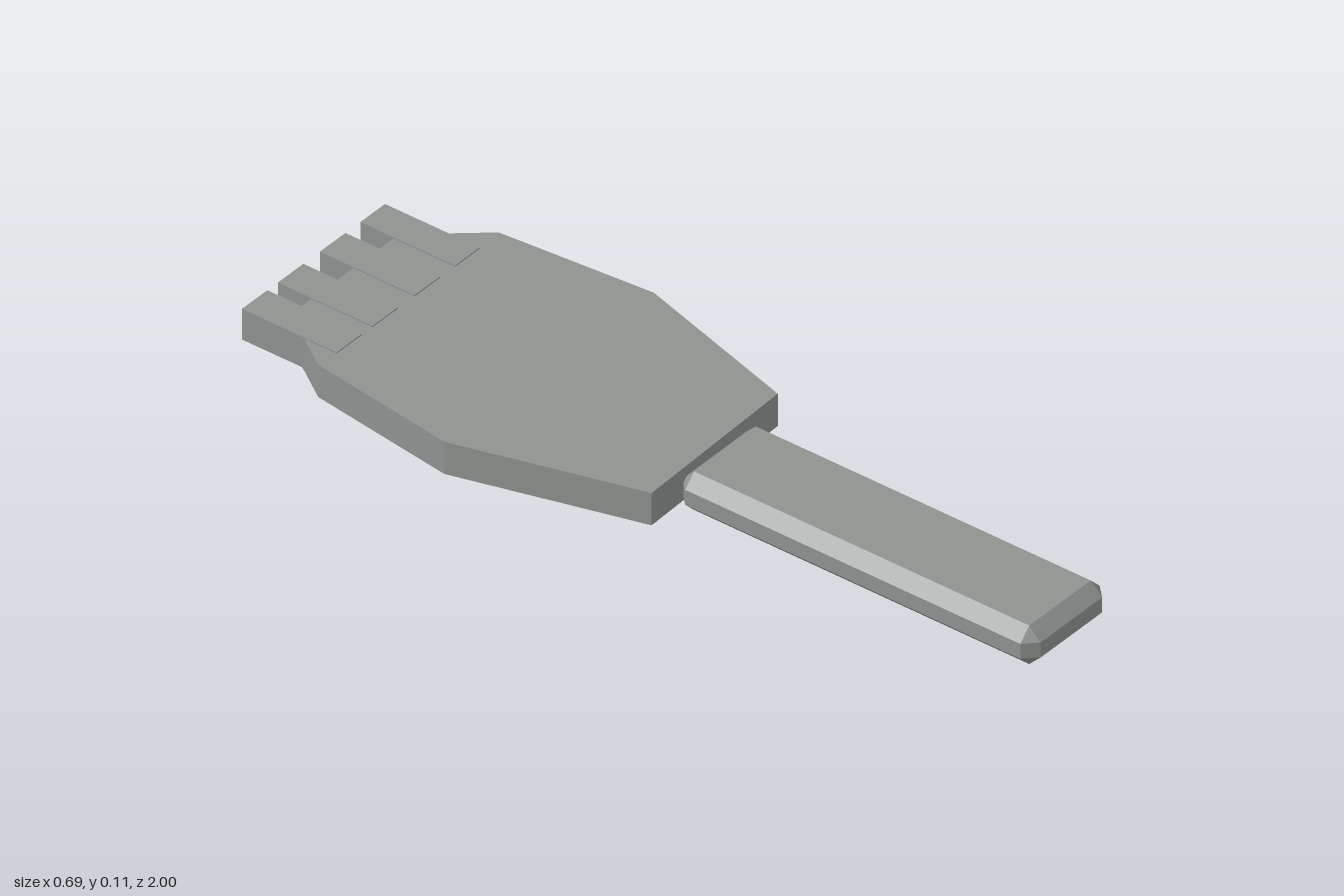
import * as THREE from 'three';
import { ConvexGeometry } from 'three/addons/geometries/ConvexGeometry.js';

// Box between two corners with every edge chamfered by c
function chamferedBox(min, max, c) {
  const points = [];
  for (const sx of [0, 1]) for (const sy of [0, 1]) for (const sz of [0, 1]) {
    const side = [sx, sy, sz];
    for (let face = 0; face < 3; face++) {
      const p = side.map((s, i) => {
        const inset = i === face ? 0 : c;
        return s ? max[i] - inset : min[i] + inset;
      });
      points.push(new THREE.Vector3(...p));
    }
  }
  return new ConvexGeometry(points);
}

export function createModel() {
  const model = new THREE.Group();
  model.name = 'paddle';
  const grey = new THREE.MeshStandardMaterial({ color: 0x8e9390, flatShading: true });
  grey.name = 'grey';

  const add = (name, geometry) => {
    const mesh = new THREE.Mesh(geometry, grey);
    mesh.name = name;
    model.add(mesh);
    return mesh;
  };

  // Flat hand-shaped blade, outline given as x, z
  const outline = [
    [-0.22, 0.07], [0.22, 0.055], [0.343, -0.37], [0.312, -0.755], [0.24, -0.84],
    [0.18, -0.912], [-0.19, -0.912], [-0.235, -0.835], [-0.29, -0.755], [-0.343, -0.38],
  ];
  const shape = new THREE.Shape(outline.map(([x, z]) => new THREE.Vector2(x, -z)));
  const bladeGeometry = new THREE.ExtrudeGeometry(shape, { depth: 0.082, bevelEnabled: false });
  bladeGeometry.rotateX(-Math.PI / 2);
  add('blade', bladeGeometry).position.y = 0.023;

  // Four square fingers, slightly proud of the blade top
  [[-0.235, -0.15], [-0.115, -0.03], [0.025, 0.11], [0.16, 0.242]].forEach(([x0, x1], i) => {
    const finger = add('finger' + (i + 1), new THREE.BoxGeometry(x1 - x0, 0.078, 0.25));
    finger.position.set((x0 + x1) / 2, 0.069, -0.875);
  });

  // Chamfered handle
  add('handle', chamferedBox([-0.127, 0, 0.055], [0.138, 0.098, 1], 0.03));

  return model;
}
